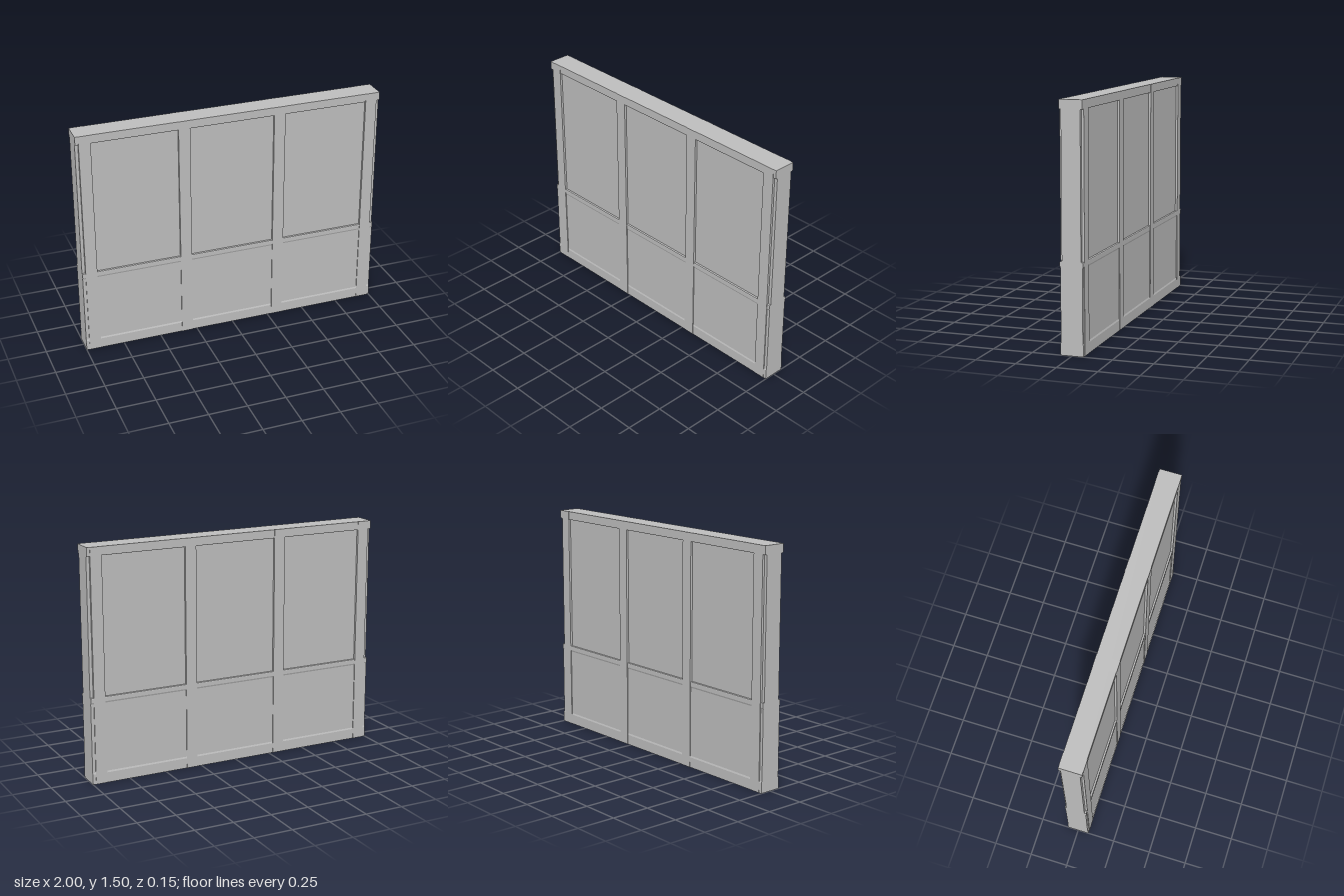
import * as THREE from 'three';

const LENGTH = 2, HEIGHT = 1.5;

export function createModel() {
  const model = new THREE.Group();
  model.name = 'wallPanel';
  const grey = new THREE.MeshStandardMaterial({ color: 0xbcbcbc });
  grey.name = 'plain grey';

  // Half profile of the wall as [z, y]: base, lower panel, middle rail, upper recess, top rail
  const half = [
    [0.072, 0], [0.072, 0.066], [0.068, 0.076],
    [0.068, 0.522], [0.072, 0.532], [0.072, 0.556], [0.07, 0.56],
    [0.059, 0.562], [0.059, 1.443],
    [0.07, 1.445], [0.072, 1.449], [0.072, HEIGHT],
  ];
  const outline = [...half, ...half.map(([z, y]) => [-z, y]).reverse()];
  const shape = new THREE.Shape(outline.map(([z, y]) => new THREE.Vector2(z, y)));

  // Moulded wall, swept along x
  const wallGeometry = new THREE.ExtrudeGeometry(shape, { depth: LENGTH, bevelEnabled: false });
  wallGeometry.translate(0, 0, -LENGTH / 2);
  wallGeometry.rotateY(-Math.PI / 2);
  const wall = new THREE.Mesh(wallGeometry, grey);
  wall.name = 'mouldedWall';
  model.add(wall);

  // Four full-height posts, slightly proud of the rails on both faces
  const postGeometry = new THREE.BoxGeometry(0.075, HEIGHT, 0.147);
  [-0.942, -0.315, 0.315, 0.942].forEach((x, i) => {
    const post = new THREE.Mesh(postGeometry, grey);
    post.name = `post${i + 1}`;
    post.position.set(x, HEIGHT / 2, 0);
    model.add(post);
  });

  return model;
}
